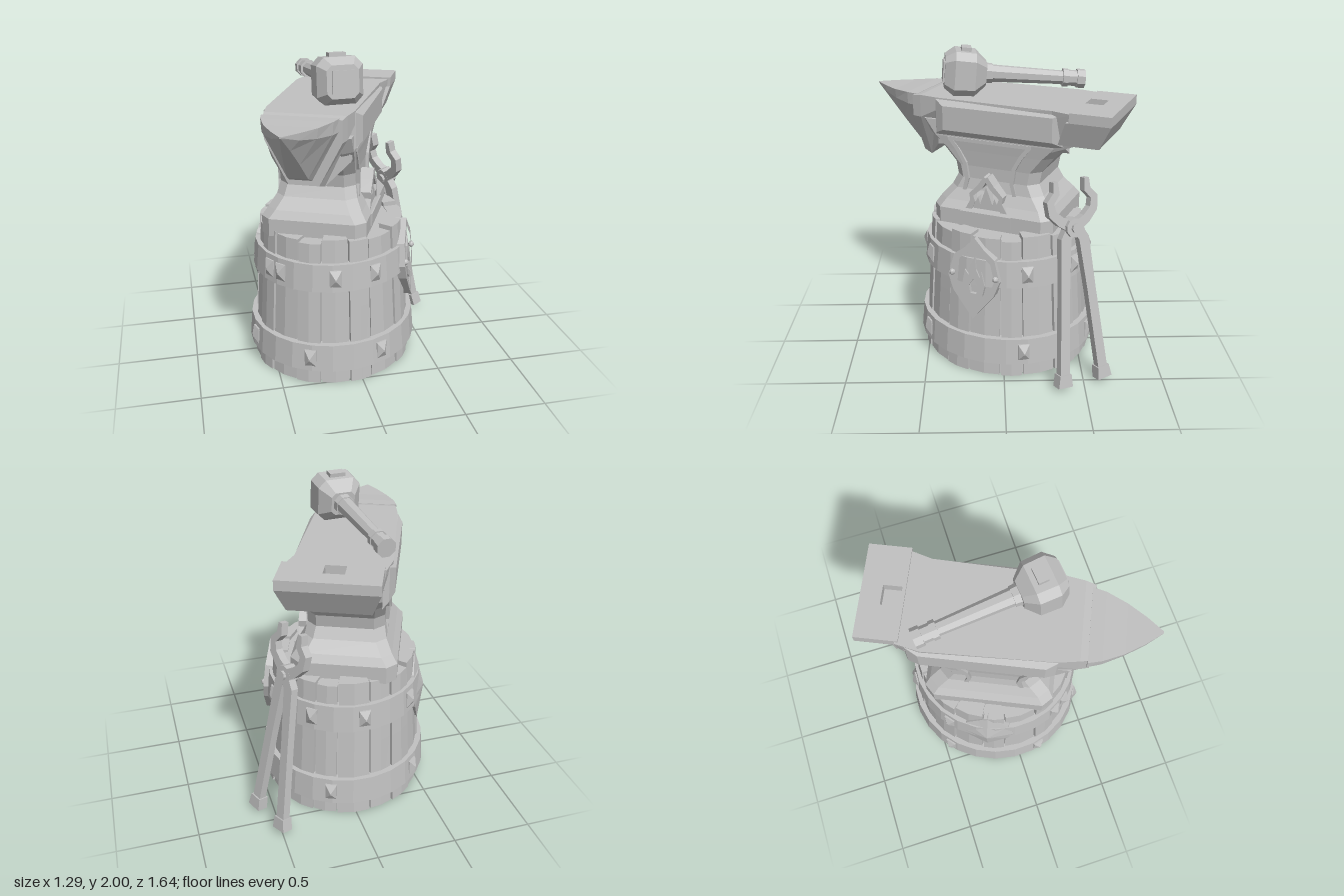
import * as THREE from 'three';

const grey = new THREE.MeshStandardMaterial({ color: 0xc0c0c0 });
grey.name = 'plain grey';

// The barrel is slightly oval, narrower across the anvil
const OVAL = 0.93;

// Faceted mesh added to a parent
function add(parent, name, geo, x = 0, y = 0, z = 0) {
  const g = geo.index ? geo.toNonIndexed() : geo;
  g.computeVertexNormals();
  const m = new THREE.Mesh(g, grey);
  m.name = name;
  m.position.set(x, y, z);
  parent.add(m);
  return m;
}

// Closed skin over rings of [x, y, z] points, always wound outwards
function loft(rings) {
  const n = rings[0].length, tris = [];
  for (let r = 0; r < rings.length - 1; r++) {
    for (let i = 0; i < n; i++) {
      const j = (i + 1) % n, a = rings[r], b = rings[r + 1];
      tris.push([a[i], a[j], b[j]], [a[i], b[j], b[i]]);
    }
  }
  const end = rings[rings.length - 1];
  for (let i = 1; i < n - 1; i++) {
    tris.push([rings[0][0], rings[0][i + 1], rings[0][i]], [end[0], end[i], end[i + 1]]);
  }
  const o = rings[0][0];
  let vol = 0;
  for (const t of tris) {
    const [a, b, c] = t.map(p => new THREE.Vector3(p[0] - o[0], p[1] - o[1], p[2] - o[2]));
    vol += a.dot(b.cross(c));
  }
  if (vol < 0) tris.forEach(t => t.reverse());
  const g = new THREE.BufferGeometry();
  g.setAttribute('position', new THREE.Float32BufferAttribute(tris.flat(2), 3));
  return g;
}

// Chamfered rectangle as 2D points
const octagon = (w, h, c) => [[w - c, h], [w, h - c], [w, c - h], [w - c, -h], [c - w, -h], [-w, c - h], [-w, h - c], [c - w, h]];
// Cross-section at z, mirrored about x = cx, from half-profile points [x, y]
const section = (z, half, cx = 0) => [
  ...half.map(([x, y]) => [cx + x, y, z]),
  ...half.slice().reverse().map(([x, y]) => [cx - x, y, z])];

const shape = pts => new THREE.Shape(pts.map(p => new THREE.Vector2(p[0], p[1])));
const mirrorX = half => [...half, ...half.slice().reverse().filter(p => p[0] !== 0).map(([x, y]) => [-x, y])];
const plate = (s, depth) => new THREE.ExtrudeGeometry(s, { depth, bevelEnabled: false });

// Flat strip along points [x, y, width]
function strip(pts, depth) {
  const left = [], right = [];
  pts.forEach(([x, y, w], i) => {
    const a = pts[Math.max(i - 1, 0)], b = pts[Math.min(i + 1, pts.length - 1)];
    const dx = b[0] - a[0], dy = b[1] - a[1], l = Math.hypot(dx, dy);
    left.push([x - dy / l * w / 2, y + dx / l * w / 2]);
    right.unshift([x + dy / l * w / 2, y - dx / l * w / 2]);
  });
  const outline = [...left, ...right];
  return plate(shape(outline), depth);
}

function buildBarrel(parent) {
  const barrel = new THREE.Group();
  barrel.name = 'barrel';
  parent.add(barrel);
  add(barrel, 'barrelCore', new THREE.CylinderGeometry(0.455, 0.535, 0.9, 24).scale(OVAL, 1, 1), 0, 0.455, 0);
  // Staves of uneven width and height
  const widths = [1, 0.8, 1.2, 0.9, 1.1, 0.75, 1.15, 1, 0.85, 1.2, 0.9, 1, 1.1, 0.8, 1.2, 0.9, 1.05, 0.9];
  const total = widths.reduce((s, w) => s + w);
  let a = 0.1;
  widths.forEach((w, i) => {
    const da = w / total * Math.PI * 2, top = 0.935 - 0.025 * ((i * 7) % 3) / 2, out = 0.008 * (i % 2);
    const ring = (r0, r1, y) => [[r0, 0.01], [r1, 0.01], [r1 + 0.004, da / 2], [r1, da - 0.01], [r0, da - 0.01]]
      .map(([r, t]) => [Math.sin(a + t) * r * OVAL, y, Math.cos(a + t) * r]);
    add(barrel, 'stave', loft([ring(0.47, 0.55 + out, 0), ring(0.44, 0.515 + out, 0.5), ring(0.39, 0.485 + out, top)]));
    a += da;
  });
  // Iron hoops with pyramid studs
  const hoops = [
    { y0: 0.1, y1: 0.27, r0: 0.588, r1: 0.572, studs: [48, 122, 179, 244, 309, 359] },
    { y0: 0.62, y1: 0.79, r0: 0.545, r1: 0.528, studs: [45, 125, 164, 202, 243, 324, 335, 16] }];
  for (const { y0, y1, r0, r1, studs } of hoops) {
    const p = [[r0 - 0.06, y0], [r0, y0], [r1, y1], [r1 - 0.06, y1], [r0 - 0.06, y0]];
    add(barrel, 'hoop', new THREE.LatheGeometry(p.map(q => new THREE.Vector2(...q)), 26).scale(OVAL, 1, 1));
    for (const deg of studs) {
      const t = deg * Math.PI / 180, r = (r0 + r1) / 2 - 0.008;
      const sq = (s, z) => [[-s, -s * 1.5, z], [s, -s * 1.5, z], [s, s * 1.5, z], [-s, s * 1.5, z]];
      const stud = add(barrel, 'stud', loft([sq(0.036, 0), sq(0.036, 0.01), sq(0.004, 0.036)]),
        Math.sin(t) * r * OVAL, (y0 + y1) / 2, Math.cos(t) * r);
      stud.rotation.y = t;
    }
  }
}

function buildShields(parent) {
  const outline = k => mirrorX([[0, 0.265], [0.06, 0.2], [0.135, 0.14], [0.172, 0], [0.135, -0.1], [0, -0.27]].map(p => [p[0] * k, p[1] * k]));
  // Flame badge on the left side
  const badge = new THREE.Group();
  badge.name = 'flameBadge';
  badge.position.set(0.435, 0.66, 0.01);
  badge.rotation.set(-0.08, Math.PI / 2, 0, 'YXZ');
  parent.add(badge);
  add(badge, 'badgePlate', plate(shape(outline(0.98)), 0.05));
  const rim = shape(outline(1));
  rim.holes.push(shape(outline(0.8)));
  add(badge, 'badgeRim', plate(rim, 0.075));
  const flame = shape([[0, -0.15], [0.06, -0.11], [0.075, -0.04], [0.05, 0.05], [0.04, 0.01], [0.015, 0.06],
    [0.005, 0.14], [-0.03, 0.08], [-0.035, 0.02], [-0.06, 0.05], [-0.075, -0.04], [-0.055, -0.11]]);
  flame.holes.push(shape([[0, 0], [0.03, -0.05], [0.02, -0.1], [-0.02, -0.1], [-0.03, -0.05]]));
  add(badge, 'flame', plate(flame, 0.075));
  for (const s of [-1, 1]) add(badge, 'badgeRivet', new THREE.SphereGeometry(0.02, 8, 6), s * 0.145, 0.02, 0.075);
  // Plain peaked shield on the right side
  const ring = (k, z) => outline(k).map(([x, y]) => [x, y, z]);
  const back = add(parent, 'peakedShield', loft([ring(1, 0), ring(1, 0.03), ring(0.03, 0.08)]), -0.445, 0.66, 0.01);
  back.rotation.set(-0.08, -Math.PI / 2, 0, 'YXZ');
}

function buildAnvil(parent) {
  const anvil = new THREE.Group();
  anvil.name = 'anvil';
  anvil.position.x = -0.035;
  parent.add(anvil);
  // Foot, waist and flare under the head
  const body = [[0.9, 0.4, 0.325], [1.01, 0.4, 0.325], [1.06, 0.37, 0.29], [1.13, 0.31, 0.25], [1.2, 0.275, 0.235],
    [1.28, 0.29, 0.235], [1.38, 0.37, 0.245], [1.46, 0.45, 0.255], [1.56, 0.52, 0.255]];
  add(anvil, 'body', loft(body.map(([y, l, w]) => octagon(w, l, 0.06).map(([x, z]) => [x, y, z]))));
  // Head block narrowing to the collar behind the horn
  add(anvil, 'head', loft([
    section(-0.52, [[0.285, 1.7], [0.28, 1.66], [0.245, 1.5]], 0.035),
    section(-0.38, [[0.28, 1.7], [0.275, 1.65], [0.25, 1.44]]),
    section(0.38, [[0.26, 1.7], [0.26, 1.62], [0.24, 1.4]]),
    section(0.5, [[0.24, 1.7], [0.24, 1.56], [0.11, 1.28]]),
    section(0.56, [[0.225, 1.69], [0.225, 1.56], [0.09, 1.3]])]));
  add(anvil, 'horn', loft([
    section(0.54, [[0.225, 1.695], [0.225, 1.62], [0.07, 1.32]]),
    section(0.62, [[0.205, 1.695], [0.2, 1.62], [0.06, 1.36]]),
    section(0.74, [[0.15, 1.69], [0.14, 1.63], [0.045, 1.48]]),
    section(0.85, [[0.08, 1.69], [0.075, 1.65], [0.025, 1.59]]),
    section(0.945, [[0.006, 1.69], [0.006, 1.685], [0.003, 1.68]])]), -0.018, 0, 0);
  // Tail with square tool hole
  const top = shape([[-0.285, 0.5], [0.285, 0.5], [0.285, 0.75], [-0.285, 0.75]]);
  top.holes.push(shape([[-0.08, 0.52], [0.04, 0.52], [0.04, 0.63], [-0.08, 0.63]]));
  add(anvil, 'tailTop', plate(top, 0.06).rotateX(-Math.PI / 2), 0.045, 1.652, 0);
  const tail = (y, w, z0, z1) => [[-w, y, z0], [w, y, z0], [w, y, z1], [-w, y, z1]];
  add(anvil, 'tail', loft([tail(1.652, 0.285, -0.75, -0.48), tail(1.5, 0.235, -0.67, -0.42)]), 0.045, 0, 0);
  for (const s of [1, -1]) {
    // Bevelled side lips
    const lip = (x, z0, z1, y0, y1) => [[s * x, y0, z0], [s * x, y0, z1], [s * x, y1, z1], [s * x, y1, z0]];
    add(anvil, 'sideLip', loft([lip(0.23, -0.48, 0.4, 1.44, 1.7), lip(0.265, -0.46, 0.38, 1.48, 1.69), lip(0.295, -0.39, 0.32, 1.51, 1.66)]));
    // Raised outline on the waist
    for (const e of [-1, 1]) {
      const edge = [[0.265, 1.45], [0.21, 1.38], [0.165, 1.3], [0.15, 1.2], [0.17, 1.12]].map(([x, y]) => [x * e, y, 0.025]);
      add(anvil, 'waistTrim', strip(edge, 0.035), s * 0.22, 0, 0.03).rotation.y = s * Math.PI / 2;
    }
    add(anvil, 'waistTrim', new THREE.BoxGeometry(0.03, 0.022, 0.55), s * 0.245, 1.45, 0.03);
  }
  // Pointed flame arch standing on the foot
  const arch = new THREE.Group();
  arch.name = 'flameArch';
  arch.position.set(0.225, 0, 0.025);
  arch.rotation.y = Math.PI / 2;
  anvil.add(arch);
  add(arch, 'archLedge', new THREE.BoxGeometry(0.34, 0.08, 0.1), 0, 0.97, 0.06);
  for (const e of [-1, 1]) {
    add(arch, 'archFrame', strip([[0, 1.24, 0.03], [0.04, 1.18, 0.035], [0.1, 1.12, 0.03], [0.09, 1.08, 0.035], [0.13, 1.0, 0.04]].map(([x, y, w]) => [x * e, y, w]), 0.09));
    add(arch, 'sideFlame', plate(shape([[0.03, 1.0], [0.095, 1.0], [0.085, 1.05], [0.055, 1.11], [0.04, 1.06]].map(([x, y]) => [x * e, y])), 0.085));
  }
  add(arch, 'middleFlame', plate(shape([[-0.035, 1.0], [0.035, 1.0], [0.04, 1.07], [0, 1.18], [-0.04, 1.07]]), 0.085));
}

function buildHammer(parent) {
  const hammer = new THREE.Group();
  hammer.name = 'hammer';
  hammer.position.set(-0.1, 1.845, 0.23);
  hammer.rotation.set(-0.085, 0.09, 0, 'YXZ');
  parent.add(hammer);
  const rings = [[-0.13, 0.075, 0.07, 0.025], [-0.06, 0.135, 0.13, 0.045], [0.065, 0.138, 0.135, 0.045], [0.125, 0.095, 0.095, 0.03]];
  add(hammer, 'hammerHead', loft(rings.map(([z, w, h, c]) => octagon(w, h, c).map(([x, y]) => [x, y, z]))));
  add(hammer, 'hammerFace', new THREE.BoxGeometry(0.13, 0.13, 0.03), 0, 0, 0.12);
  add(hammer, 'topNub', new THREE.BoxGeometry(0.1, 0.04, 0.06), 0, 0.135, 0);
  // Handle, collar and grip rings: [name, end radius, head radius, z start, z end]
  for (const [name, r0, r1, z0, z1] of [['collar', 0.06, 0.065, -0.17, -0.12], ['handle', 0.042, 0.055, -0.64, -0.12],
    ['grip', 0.05, 0.05, -0.74, -0.62], ['gripRing', 0.057, 0.057, -0.645, -0.61], ['pommel', 0.06, 0.06, -0.75, -0.7]]) {
    add(hammer, name, new THREE.CylinderGeometry(r1, r0, z1 - z0, 8).rotateY(Math.PI / 8).rotateX(Math.PI / 2), 0, 0, (z0 + z1) / 2);
  }
}

function buildTongs(parent) {
  const tongs = new THREE.Group();
  tongs.name = 'tongs';
  const across = new THREE.Vector3(-0.447, 0, -0.894);
  const up = new THREE.Vector3(-0.2, 0.97, 0).normalize();
  up.addScaledVector(across, -up.dot(across)).normalize();
  const out = across.clone().cross(up).normalize();
  tongs.quaternion.setFromRotationMatrix(new THREE.Matrix4().makeBasis(across, up, out));
  tongs.position.set(0.385, 1.01, -0.41);
  parent.add(tongs);
  for (const s of [-1, 1]) {
    // Leg, foot and curved jaw, one arm in front of the other
    const z = s * 0.012 - 0.025;
    const m = pts => pts.map(([x, y, w]) => [x * s, y, w]);
    add(tongs, 'leg', strip(m([[-0.01, 0.03, 0.07], [0.055, -0.07, 0.07], [0.085, -0.4, 0.06], [0.135, -0.98, 0.065]]), 0.05), 0, 0, z);
    add(tongs, 'legFoot', strip(m([[0.13, -0.92, 0.08], [0.137, -1.0, 0.1]]), 0.07), 0, 0, z - 0.01);
    add(tongs, 'jaw', strip(m([[0, 0, 0.07], [0.08, 0.045, 0.06], [0.135, 0.1, 0.055], [0.145, 0.17, 0.05], [0.1, 0.22, 0.045], [0.1, 0.29, 0.03]]), 0.05), 0, 0, z);
  }
  add(tongs, 'pivotPlate', new THREE.CylinderGeometry(0.06, 0.06, 0.075, 10).rotateX(Math.PI / 2));
  add(tongs, 'pivotRivet', new THREE.CylinderGeometry(0.03, 0.03, 0.11, 8).rotateX(Math.PI / 2));
}

export function createModel() {
  const model = new THREE.Group();
  model.name = 'anvilOnBarrel';
  // Barrel, anvil and shields share a turned axis
  const turned = new THREE.Group();
  turned.name = 'barrelAndAnvil';
  turned.position.set(-0.083, 0, -0.03);
  turned.rotation.y = -0.419;
  model.add(turned);
  buildBarrel(turned);
  buildAnvil(turned);
  buildShields(turned);
  buildHammer(model);
  buildTongs(model);
  return model;
}
